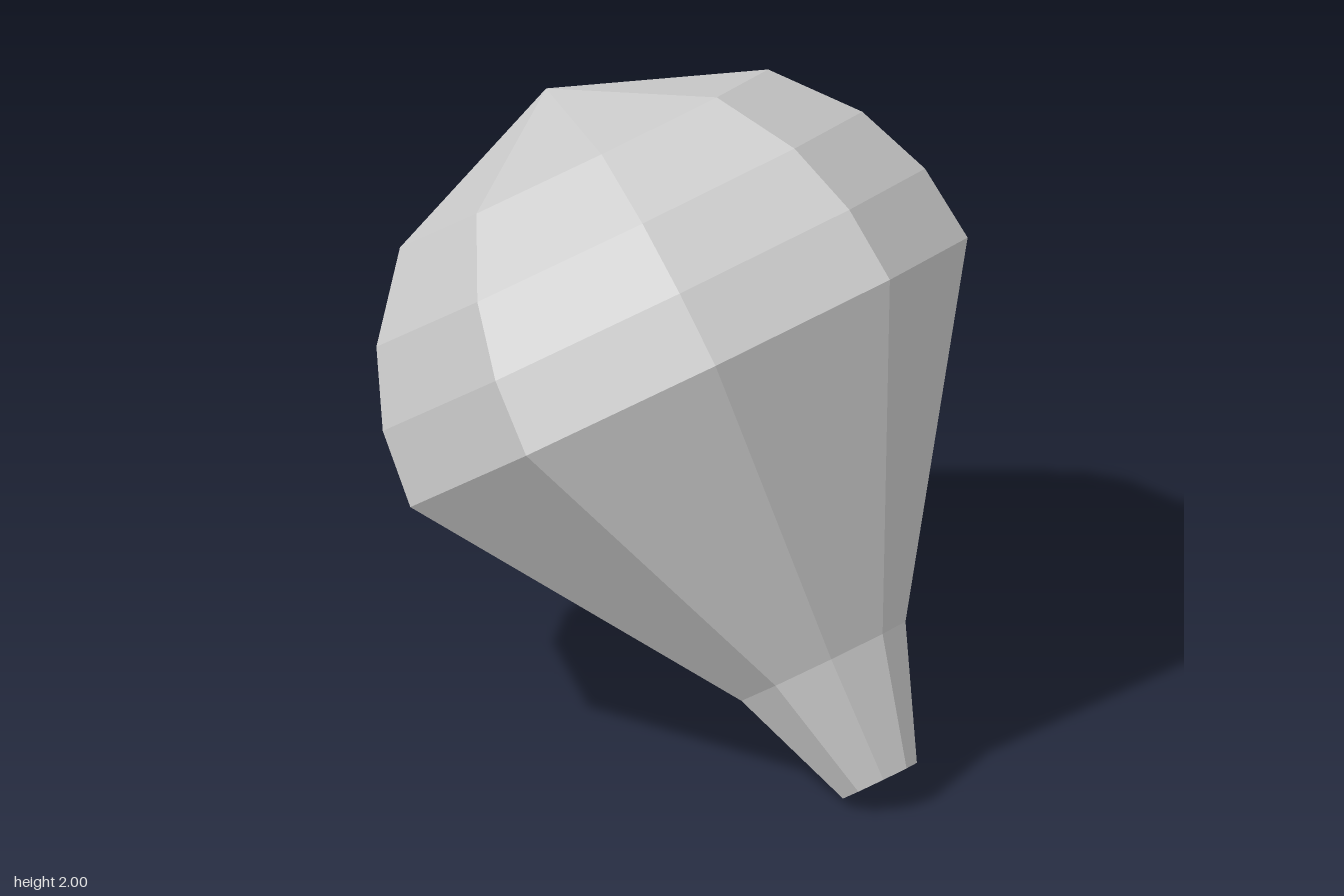
import * as THREE from 'three';

const SIDES = 9;

// Faceted shell of revolution from [radius, height] pairs, listed bottom to top
function shell(name, profile) {
  const points = profile.map(([r, h]) => new THREE.Vector2(r, h));
  const geometry = new THREE.LatheGeometry(points, SIDES, Math.PI / 2);
  const material = new THREE.MeshStandardMaterial({
    color: 0xcccccc, flatShading: true, side: THREE.DoubleSide,
  });
  const mesh = new THREE.Mesh(geometry, material);
  mesh.name = name;
  return mesh;
}

export function createModel() {
  const group = new THREE.Group();
  group.name = 'balloon';

  // Open mouth and narrow neck
  group.add(shell('neck', [[0.118, 0], [0.262, 0.373]]));

  // Cone flaring out to the widest ring
  group.add(shell('lowerEnvelope', [[0.262, 0.373], [0.89, 1.273]]));

  // Rounded crown closing at the tip
  group.add(shell('crown', [
    [0.89, 1.273], [0.866, 1.5], [0.776, 1.721], [0.588, 1.943], [0, 2.165],
  ]));

  // Lean the axis from the mouth towards the tip
  const mouth = new THREE.Vector3(0.738, 0.068, 0.03);
  const tip = new THREE.Vector3(-0.49, 1.85, -0.03);
  const up = tip.sub(mouth).normalize();
  const across = new THREE.Vector3(up.y, -up.x, 0).normalize();
  const forward = new THREE.Vector3().crossVectors(across, up);
  group.quaternion.setFromRotationMatrix(new THREE.Matrix4().makeBasis(across, up, forward));
  group.position.copy(mouth);

  const model = new THREE.Group();
  model.add(group);
  return model;
}
